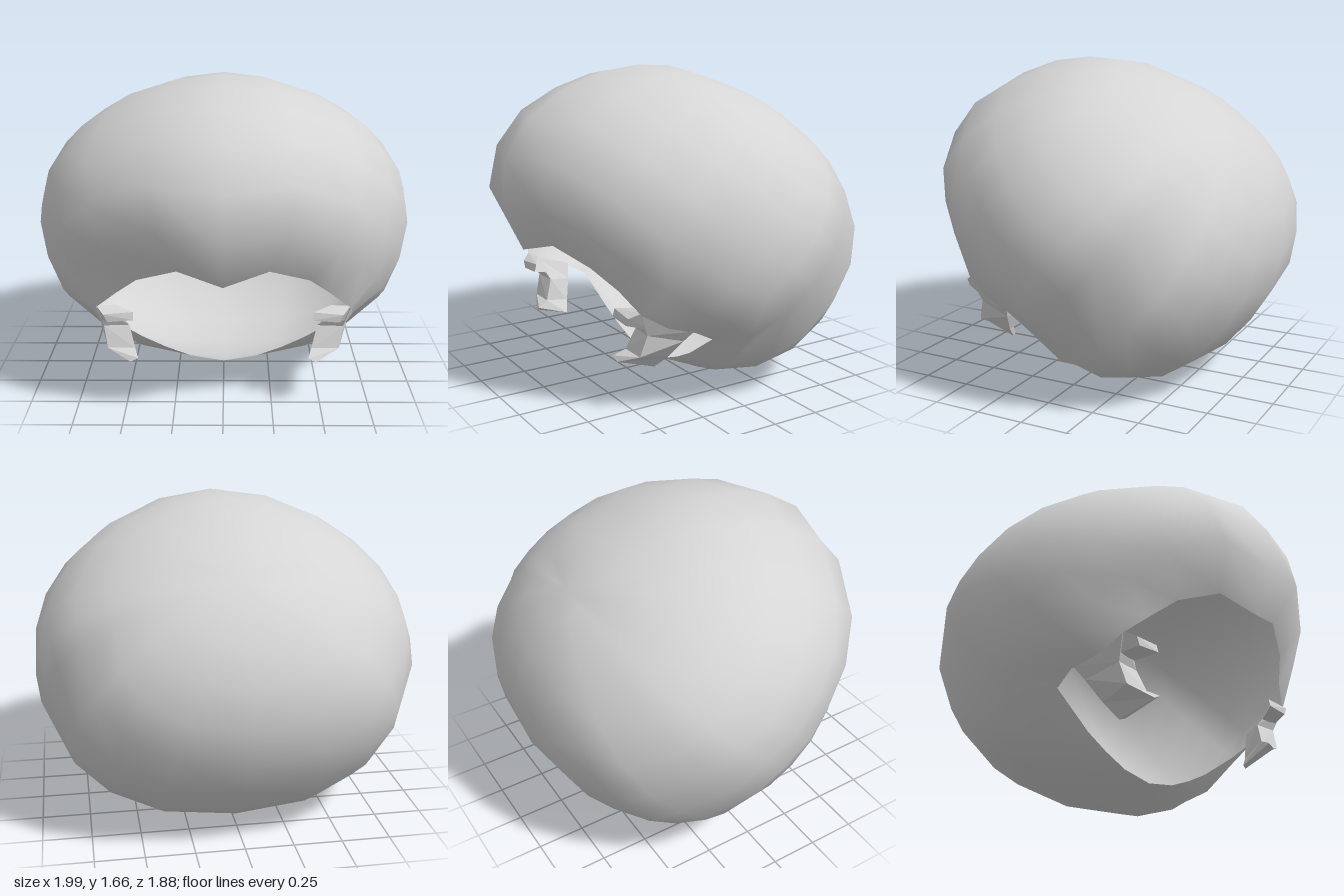
import * as THREE from 'three';

const centre = new THREE.Vector3(0, 0.85, -0.1);
const crown = new THREE.Vector3(0, 1, -1).normalize(); // pole opposite the face opening

// Side outline on the middle plane, as [z, y]
const outline = [
  [0.84, 0.77], [0.89, 0.91], [0.94, 0.98], [0.935, 1.21], [0.76, 1.46], [0.46, 1.61], [0.14, 1.665],
  [-0.25, 1.575], [-0.6, 1.375], [-0.82, 1.15], [-0.935, 0.89], [-0.925, 0.62], [-0.76, 0.31],
  [-0.55, 0.1], [-0.35, 0.025], [-0.15, 0], [0.07, 0.07], [0.3, 0.17], [0.45, 0.25], [0.7, 0.5],
];
const polar = outline.map(([z, y]) => {
  const dz = z - centre.z, dy = y - centre.y;
  return { a: Math.atan2(dy, dz), r: Math.hypot(dy, dz) };
});
const TAU = Math.PI * 2;
const turn = (a) => (a % TAU + TAU) % TAU;

// Outline radius at an angle around the x axis
function outlineRadius(angle) {
  for (let i = 0; i < polar.length; i++) {
    const p = polar[i], q = polar[(i + 1) % polar.length];
    const span = turn(q.a - p.a), along = turn(angle - p.a);
    if (along <= span) return THREE.MathUtils.lerp(p.r, q.r, along / span);
  }
  return polar[0].r;
}

// Point on the rounded cap in a given direction, fuller towards the lower back
function capPoint(dir) {
  const r = outlineRadius(Math.atan2(dir.y, dir.z));
  const power = 2.1 - 0.22 * dir.y - 0.15 * dir.z;
  const f = Math.abs(dir.x) ** power + (Math.hypot(dir.y, dir.z) / r) ** power;
  return dir.clone().multiplyScalar(f ** (-1 / power)).add(centre);
}

// Edge of the opening: forehead, temple, ear notch, nape
const halfRim = [
  [0, 0.77, 0.84], [0.22, 0.83, 0.78], [0.42, 0.75, 0.68], [0.53, 0.65, 0.59], [0.64, 0.55, 0.53],
  [0.67, 0.47, 0.4], [0.7, 0.43, 0.26], [0.68, 0.37, 0.15], [0.45, 0.22, 0.13],
  [0.32, 0.155, 0.125], [0.18, 0.1, 0.12], [0, 0.07, 0.12],
];
const rim = [...halfRim, ...halfRim.slice(1, -1).reverse().map(([x, y, z]) => [-x, y, z])]
  .map((p) => new THREE.Vector3(...p));

// Rows of points from the crown to the rim
function capRows(rings) {
  const rows = [];
  for (let i = 1; i <= rings; i++) {
    rows.push(rim.map((edge) => {
      if (i === rings) return edge.clone();
      const dir = edge.clone().sub(centre).normalize();
      const axis = crown.clone().cross(dir).normalize();
      return capPoint(crown.clone().applyAxisAngle(axis, crown.angleTo(dir) * i / rings));
    }));
  }
  return rows;
}

// Surface through closed rows, optionally closed by a pole
function loft(rows, pole, flip = false) {
  const n = rows[0].length, points = rows.flat(), index = [];
  const tri = (a, b, c) => index.push(a, ...(flip ? [c, b] : [b, c]));
  if (pole) points.push(pole);
  for (let j = 0; j < n; j++) {
    const k = (j + 1) % n;
    if (pole) tri(points.length - 1, j, k);
    for (let i = 0; i < rows.length - 1; i++) {
      const a = i * n + j, b = a + n, c = (i + 1) * n + k, d = i * n + k;
      tri(a, b, c);
      tri(a, c, d);
    }
  }
  const geometry = new THREE.BufferGeometry().setFromPoints(points);
  geometry.setIndex(index);
  geometry.computeVertexNormals();
  return geometry;
}

// Solid faceted strip through four-cornered sections
function strip(sections, side) {
  const rows = sections.map((s) => s.map(([x, y, z]) => new THREE.Vector3(x * side, y, z)));
  const body = loft(rows, null, side < 0);
  const index = [...body.index.array], last = (rows.length - 1) * 4;
  const cap = (a, b, c) => index.push(a, ...(side < 0 ? [c, b] : [b, c]));
  cap(0, 1, 2); cap(0, 2, 3);
  cap(last, last + 2, last + 1); cap(last, last + 3, last + 2);
  body.setIndex(index);
  const flat = body.toNonIndexed();
  flat.computeVertexNormals();
  return flat;
}

export function createModel() {
  const model = new THREE.Group();
  model.name = 'hairCap';
  const grey = new THREE.MeshStandardMaterial({ color: 0xd5d5d5, side: THREE.DoubleSide });
  grey.name = 'softGrey';
  const add = (name, geometry) => {
    const mesh = new THREE.Mesh(geometry, grey);
    mesh.name = name;
    model.add(mesh);
  };

  // Thin open cap
  add('cap', loft(capRows(11), capPoint(crown)));

  // Sideburns: corners are outer front, inner front, inner back, outer back
  const sideburn = [
    [[0.64, 0.55, 0.53], [0.57, 0.54, 0.51], [0.64, 0.46, 0.28], [0.7, 0.44, 0.27]],
    [[0.61, 0.43, 0.48], [0.48, 0.43, 0.47], [0.6, 0.38, 0.3], [0.65, 0.38, 0.3]],
    [[0.59, 0.32, 0.51], [0.45, 0.32, 0.51], [0.52, 0.28, 0.35], [0.57, 0.28, 0.34]],
    [[0.47, 0.27, 0.57], [0.43, 0.29, 0.57], [0.46, 0.22, 0.38], [0.49, 0.21, 0.37]],
  ];
  // Small pointed lock in front of each sideburn
  const lock = [
    [[0.64, 0.56, 0.53], [0.54, 0.56, 0.52], [0.54, 0.45, 0.44], [0.63, 0.46, 0.46]],
    [[0.6, 0.53, 0.58], [0.45, 0.54, 0.57], [0.45, 0.5, 0.58], [0.58, 0.49, 0.58]],
  ];
  for (const [label, side] of [['left', 1], ['right', -1]]) {
    add(label + 'Sideburn', strip(sideburn, side));
    add(label + 'TempleLock', strip(lock, side));
  }
  return model;
}
